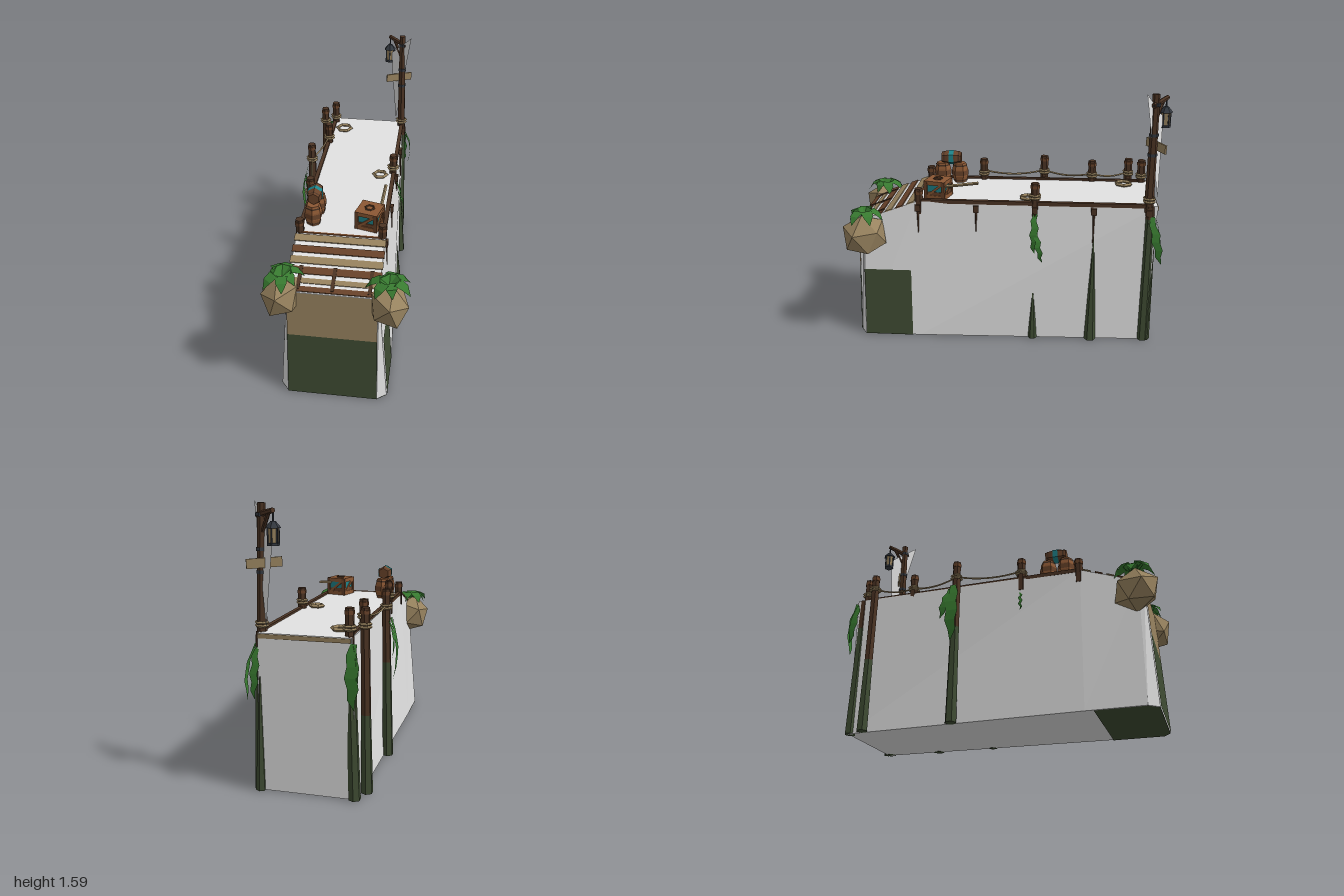
import * as THREE from 'three';

const mat = (name, color) => {
  const m = new THREE.MeshStandardMaterial({ color, flatShading: true, side: THREE.DoubleSide });
  m.name = name;
  return m;
};
const M = {
  stone: mat('paleGrey', 0xe2e2e2), tan: mat('tanWood', 0x98835f), brown: mat('brownWood', 0x69432a),
  dark: mat('darkWood', 0x4c3424), algae: mat('algaeGreen', 0x3f4c33), leaf: mat('leafGreen', 0x387a30),
  teal: mat('tealPaint', 0x1f858c), iron: mat('iron', 0x343940), orange: mat('orangeWood', 0x8c5834),
};
const V = (x, y, z) => new THREE.Vector3(x, y, z);

export function createModel() {
  const root = new THREE.Group();
  const add = (name, geo, m, x = 0, y = 0, z = 0, parent = root) => {
    const mesh = new THREE.Mesh(geo, m);
    mesh.name = name;
    mesh.position.set(x, y, z);
    parent.add(mesh);
    return mesh;
  };
  const group = (name, x, y, z) => {
    const g = new THREE.Group();
    g.name = name;
    g.position.set(x, y, z);
    root.add(g);
    return g;
  };
  const box = (name, m, w, h, d, x, y, z, p) => add(name, new THREE.BoxGeometry(w, h, d), m, x, y, z, p);
  // Tapered pole from a to b
  const pole = (name, m, a, b, ra, rb = ra, sides = 6) => {
    const d = b.clone().sub(a), c = a.clone().add(b).multiplyScalar(0.5);
    const p = add(name, new THREE.CylinderGeometry(rb, ra, d.length(), sides), m, c.x, c.y, c.z);
    p.quaternion.setFromUnitVectors(V(0, 1, 0), d.normalize());
    return p;
  };
  // Flat faces from polygons of points
  const faces = (name, m, polys) => {
    const pos = [];
    for (const p of polys)
      for (let i = 1; i < p.length - 1; i++) for (const v of [p[0], p[i], p[i + 1]]) pos.push(v.x, v.y, v.z);
    const g = new THREE.BufferGeometry();
    g.setAttribute('position', new THREE.Float32BufferAttribute(pos, 3));
    g.computeVertexNormals();
    return add(name, g, m);
  };
  // Leaf ribbon along points, with a half width at each point
  const ribbon = (name, pts, widths, side) => {
    const L = pts.map((p, i) => p.clone().addScaledVector(side, -widths[i]));
    const R = pts.map((p, i) => p.clone().addScaledVector(side, widths[i]));
    faces(name, M.leaf, pts.slice(1).map((_, i) => [L[i], R[i], R[i + 1], L[i + 1]]));
  };

  // Pier body: splayed base, sloped front, cut front corners
  const base = [[-.3, -.92], [-.33, .53], [-.33, .87], [-.28, .93], [.255, .93], [.31, .89], [.31, .53], [.262, -.92]]
    .map(([x, z]) => V(x, 0, z));
  const top = [[-.275, .9, -.945], [-.265, .9, .53], [-.265, .775, .87], [-.26, .755, .9], [.245, .755, .9],
    [.25, .775, .87], [.25, .9, .53], [.24, .9, -.945]].map((p) => V(...p));
  const body = base.map((b, i) => [b, base[(i + 1) % 8], top[(i + 1) % 8], top[i]]);
  body.push([top[0], top[1], top[6], top[7]], [top[1], top[2], top[5], top[6]], [top[2], top[3], top[4], top[5]]);
  body.push([...base].reverse());
  faces('pierBody', M.stone, body);

  // Painted panels on the front, right side and underside
  faces('frontAlgae', M.algae, [[V(-.28, 0, .934), V(.255, 0, .934), V(.249, .45, .916), V(-.268, .45, .916)]]);
  faces('frontPanel', M.tan, [[V(-.268, .45, .916), V(.249, .45, .916), V(.245, .755, .904), V(-.26, .755, .904)]]);
  faces('sideAlgae', M.algae, [[V(.314, 0, .885), V(.314, 0, .58), V(.282, .445, .58), V(.282, .445, .88)]]);
  faces('baseAlgae', M.algae, [[V(-.33, -.003, .58), V(.31, -.003, .58), V(.31, -.003, .89), V(.255, -.003, .93),
    V(-.28, -.003, .93), V(-.33, -.003, .87)]]);

  // Sloped gangway planks with gaps, and their bearers
  const slope = (z) => .9 - (z - .53) * .375;
  [.572, .643, .711, .774, .836, .885].forEach((z, i) => {
    const p = box('gangwayPlank', i % 2 ? M.brown : M.tan, .53, .007, i < 4 ? .046 : .032, -.008, slope(z) + .004, z);
    p.rotation.x = .359;
  });
  for (const x of [-.2, -.008, .2])
    box('gangwayBearer', M.dark, .02, .008, .15, x, slope(.82) + .007, .82).rotation.x = .359;

  // Deck edge beams
  for (const x of [-.255, .237]) box('edgeBeam', M.dark, .025, .024, 1.43, x, .9, -.18);
  box('backBeam', M.tan, .51, .024, .02, -.015, .884, -.94);
  box('frontLip', M.orange, .5, .008, .01, -.01, .9, .535);

  // Mooring posts with rope wraps and bands
  const ropeRing = (x, y, z, r, tube) =>
    add('ropeWrap', new THREE.TorusGeometry(r, tube, 4, 6), M.tan, x, y, z).rotation.x = Math.PI / 2;
  const post = (x, z, h, wrapped = true) => {
    pole('mooringPost', M.dark, V(x, .82, z), V(x, h, z), .027, .025);
    pole('postBand', M.brown, V(x, h - .035, z), V(x, h - .015, z), .029);
    if (!wrapped) return;
    for (const y of [.935, .952]) ropeRing(x, y, z, .032, .008);
  };
  post(-.25, -.89, 1.05);
  post(-.315, -.81, 1.04);
  post(-.25, -.565, 1.04);
  post(-.315, -.245, 1.05);
  post(-.25, .16, 1.04);
  post(.232, -.2, 1.03);
  for (const x of [-.25, .233]) post(x, .52, .98, false);

  // Slack ropes between posts
  const rope = (a, b) => {
    const mid = a.clone().add(b).multiplyScalar(.5).setY(.9);
    const curve = new THREE.QuadraticBezierCurve3(a, mid, b);
    add('slackRope', new THREE.TubeGeometry(curve, 8, .006, 4), M.tan);
  };
  rope(V(-.25, .96, .16), V(-.315, .95, -.245));
  rope(V(-.315, .95, -.245), V(-.25, .95, -.565));
  rope(V(-.25, .95, -.565), V(-.315, .95, -.81));

  // Piles: algae below, wood above
  for (const [x0, x1, z, split] of [[-.335, -.315, -.245, .6], [-.33, -.315, -.81, .45], [-.285, -.255, -.912, .7], [.255, .238, -.9, .82]]) {
    const m = V(x0 + (x1 - x0) * split / .9, split, z);
    pole('pileFoot', M.algae, V(x0, 0, z), m, .035, .028);
    pole('pileHead', M.dark, m, V(x1, .9, z), .028, .026);
  }
  pole('pileSpike', M.algae, V(.289, 0, -.195), V(.272, .34, -.195), .028, .004);
  pole('pileSpike', M.algae, V(.279, 0, -.565), V(.253, .7, -.565), .037, .004);
  pole('pileSpike', M.algae, V(.25, 0, -.918), V(.235, .66, -.936), .03, .004);

  // Clamps and pegs under the deck edge
  for (const [z, tip] of [[.525, .69], [.163, .715], [-.2, .76], [-.56, .66], [-.89, .78]]) {
    box('clamp', M.dark, .03, .04, .034, .252, .86, z);
    pole('peg', M.dark, V(.256, .85, z), V(.262, tip, z), .007, .003, 4);
  }

  // Hanging boulders with leafy crowns
  for (const [s, x] of [[-1, -.292], [1, .303]]) {
    const rock = add('boulder', new THREE.IcosahedronGeometry(.144, 0), M.tan, x, s < 0 ? .7 : .69, .857);
    rock.scale.set(.83, .97, 1);
    rock.rotation.set(.1, s * .3, s * .3);
    for (let i = 0; i < 7; i++) {
      const a = i * Math.PI * 2 / 7 + s * .4, r = [.13, .09, .12][i % 3];
      const at = (k, y) => V(x + Math.cos(a) * r * k, y, .85 + Math.sin(a) * r * k);
      ribbon('crownLeaf', [at(0, .815), at(.4, .86), at(.75, .84), at(1, .795)], [.02, .035, .03, .002],
        V(-Math.sin(a), 0, Math.cos(a)));
    }
  }

  // Hanging vines, from point a to point b, bulging outwards
  const vine = (a, b, w, out, side) => {
    const n = 6, pts = [], ws = [];
    for (let i = 0; i <= n; i++) {
      const t = i / n, wob = (i % 2 ? 1 : -1) * .006;
      pts.push(a.clone().lerp(b, t).addScaledVector(out, .03 * Math.sin(t * Math.PI)).addScaledVector(side, wob));
      ws.push(w * (.25 + Math.sin(Math.PI * (.1 + .88 * t)) * .75) * (i === n ? .2 : 1));
    }
    ribbon('vine', pts, ws, side);
  };
  const X = V(1, 0, 0), Z = V(0, 0, 1);
  vine(V(.255, .84, -.2), V(.27, .58, -.195), .023, X, Z);
  vine(V(.27, .74, -.205), V(.29, .53, -.245), .018, X, Z);
  vine(V(.262, .84, -.91), V(.29, .54, -.975), .026, X, Z);
  vine(V(.25, .82, -.94), V(.26, .54, -.97), .022, V(0, 0, -.5), X);
  vine(V(-.345, .88, -.25), V(-.365, .5, -.25), .038, V(-1, 0, 0), Z);
  vine(V(-.34, .86, -.27), V(-.37, .65, -.32), .026, V(-.6, 0, 0), Z);
  vine(V(-.28, .87, -.945), V(-.285, .52, -.965), .035, V(0, 0, -.8), X);
  vine(V(-.285, .86, -.94), V(-.3, .6, -.965), .025, V(-.5, 0, 0), Z);
  vine(V(-.275, .8, .16), V(-.28, .68, .16), .01, V(-.3, 0, 0), Z);

  // Rope coils on the deck
  ropeRing(-.172, .91, -.77, .05, .012);
  ropeRing(.152, .91, -.15, .042, .012);

  // Barrels: two upright, one lying on top
  const barrel = (x, y, z, r, h, lying) => {
    const g = group('barrel', x, y, z);
    const p = [[0, -.5], [.78, -.5], [1, -.18], [1, .18], [.78, .5], [0, .5]].map(([a, b]) => new THREE.Vector2(a * r, b * h));
    add('barrelBody', new THREE.LatheGeometry(p, 6), lying ? M.brown : M.orange, 0, 0, 0, g);
    add('barrelBand', new THREE.CylinderGeometry(r + .003, r + .003, h * .24, 6, 1, true), lying ? M.teal : M.brown, 0, 0, 0, g);
    for (const s of [-1, 1])
      add('barrelHoop', new THREE.CylinderGeometry(r * .9, r * .9, h * .08, 6, 1, true), M.dark, 0, s * h * .38, 0, g);
    if (lying) g.rotation.x = Math.PI / 2;
  };
  barrel(-.178, .965, .315, .052, .13, false);
  barrel(-.185, .965, .43, .052, .13, false);
  barrel(-.182, 1.065, .37, .046, .13, true);

  // Crate with teal sides, corner battens and braces
  const crate = group('crate', .145, .9, .41);
  crate.rotation.y = -.25;
  box('crateCore', M.teal, .12, .11, .12, 0, .058, 0, crate);
  for (const y of [.012, .103]) box('crateFrame', M.orange, .136, .026, .136, 0, y, 0, crate);
  for (const x of [-.058, .058]) for (const z of [-.058, .058]) box('crateBatten', M.brown, .022, .116, .022, x, .058, z, crate);
  for (let i = 0; i < 4; i++) {
    const side = new THREE.Group();
    side.name = 'crateSide';
    side.rotation.y = i * Math.PI / 2;
    crate.add(side);
    box('crateBrace', M.orange, .15, .015, .008, 0, .058, .065, side).rotation.z = .68;
    box('crateBoard', M.brown, .1, .026, .006, 0, .034, .061, side);
  }
  const lid = add('crateRing', new THREE.TorusGeometry(.026, .006, 4, 6), M.dark, 0, .118, 0, crate);
  lid.rotation.x = Math.PI / 2;
  pole('leaningStick', M.tan, V(.205, .985, .36), V(.215, 1.015, .15), .01, .01, 5);

  // Lamp post with bands, bracket and sign
  pole('lampPost', M.dark, V(.235, .86, -.89), V(.222, 1.58, -.89), .029, .022);
  for (const y of [1.21, 1.33, 1.51]) pole('lampPostBand', M.iron, V(.228, y, -.89), V(.228, y + .018, -.89), .029);
  for (const y of [.93, .948]) ropeRing(.234, y, -.89, .034, .008);
  pole('bracketArm', M.dark, V(.25, 1.515, -.875), V(.13, 1.545, -.97), .017, .014);
  pole('bracketBrace', M.dark, V(.225, 1.41, -.89), V(.165, 1.53, -.94), .011);
  box('signBoard', M.tan, .19, .052, .012, .205, 1.27, -.912).rotation.set(0, .5, -.05);

  // Lantern
  const lantern = group('lantern', .132, 1.43, -.965);
  const ring = (name, m, r0, r1, h, y) => add(name, new THREE.CylinderGeometry(r1, r0, h, 6), m, 0, y, 0, lantern);
  ring('lanternBase', M.iron, .034, .034, .014, -.057);
  ring('lanternGlass', M.tan, .025, .029, .078, -.012);
  ring('lanternRoof', M.iron, .042, .014, .034, .043);
  ring('lanternHook', M.iron, .005, .005, .06, .085);
  for (let i = 0; i < 6; i++) {
    const a = i * Math.PI / 3;
    box('lanternBar', M.iron, .007, .085, .007, Math.sin(a) * .029, -.012, Math.cos(a) * .029, lantern);
  }

  // Pale pennant behind the lamp post
  faces('pennant', M.stone, [[V(.285, 1.59, -.83), V(.14, 1.43, -.95), V(.19, .93, -.945)]]);

  return root;
}
